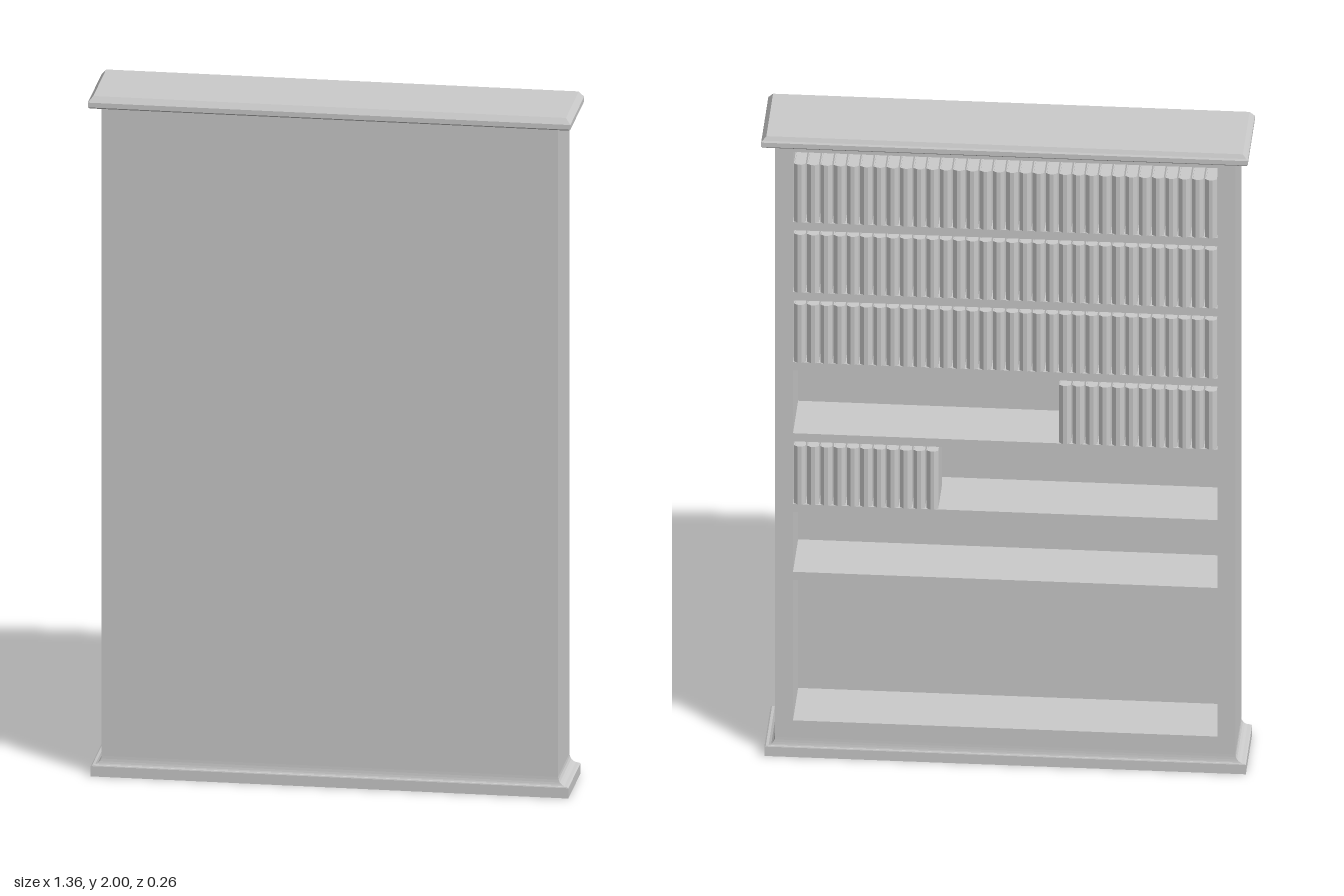
import * as THREE from 'three';

const mat = new THREE.MeshStandardMaterial({ color: 0xcccccc, flatShading: true });

function add(parent, name, geo, x = 0, y = 0, z = 0) {
  const m = new THREE.Mesh(geo, mat);
  m.name = name;
  m.position.set(x, y, z);
  parent.add(m);
  return m;
}

// Moulding: a stack of rectangles [y, half width, back z, front z], capped at both ends
function moulding(rings) {
  const pos = [];
  const corners = rings.map(([y, w, z0, z1]) => [[-w, y, z1], [w, y, z1], [w, y, z0], [-w, y, z0]]);
  const quad = (a, b, c, d) => pos.push(...a, ...b, ...c, ...a, ...c, ...d);
  for (let i = 0; i < corners.length - 1; i++) {
    const lo = corners[i], hi = corners[i + 1];
    for (let k = 0; k < 4; k++) quad(lo[k], lo[(k + 1) % 4], hi[(k + 1) % 4], hi[k]);
  }
  const top = corners[corners.length - 1], bot = corners[0];
  quad(...top);
  quad(bot[3], bot[2], bot[1], bot[0]);
  const g = new THREE.BufferGeometry();
  g.setAttribute('position', new THREE.Float32BufferAttribute(pos, 3));
  g.computeVertexNormals();
  return g;
}

// Upright extrusion of a plan outline whose +y points towards the open side (-z)
function upright(shape, height) {
  const g = new THREE.ExtrudeGeometry(shape, { depth: height, bevelEnabled: false, curveSegments: 3 });
  g.rotateX(-Math.PI / 2);
  return g;
}

export function createModel() {
  const root = new THREE.Group();
  root.name = 'bookcase';

  const W = 0.645, IN = 0.595;          // outer and inner half widths
  const OPEN = -0.1, BACK = 0.085;      // open side and inner face of the back panel
  const FLOOR = 0.115, CEIL = 1.94;

  // Case: a rectangular frame, open at -z
  const frame = new THREE.Shape();
  frame.moveTo(-W, 0.03).lineTo(W, 0.03).lineTo(W, 1.97).lineTo(-W, 1.97).closePath();
  const hole = new THREE.Path();
  hole.moveTo(-IN, FLOOR).lineTo(-IN, CEIL).lineTo(IN, CEIL).lineTo(IN, FLOOR).closePath();
  frame.holes.push(hole);
  add(root, 'caseFrame', new THREE.ExtrudeGeometry(frame, { depth: BACK - OPEN, bevelEnabled: false }), 0, 0, OPEN);
  add(root, 'backPanel', new THREE.BoxGeometry(2 * W, 1.94, 0.03), 0, 1.0, BACK + 0.015);

  // Plinth with a concave upper edge
  const plinth = [[0, 0.675, -0.105, 0.122], [0.03, 0.675, -0.105, 0.122]];
  for (let i = 0; i <= 5; i++) {
    const a = (i / 5) * Math.PI / 2, s = 1 - Math.sin(a);
    plinth.push([0.06 - 0.027 * Math.cos(a), W + 0.026 * s, OPEN - 0.004 * s, 0.115 + 0.006 * s]);
  }
  plinth.push([0.061, W, OPEN, 0.115]);
  add(root, 'plinth', moulding(plinth));

  // Crown with a rounded lip and bevelled top
  add(root, 'crown', moulding([
    [1.965, 0.676, -0.126, 0.126],
    [1.969, 0.682, -0.13, 0.13],
    [1.983, 0.682, -0.13, 0.13],
    [1.988, 0.678, -0.127, 0.127],
    [2.0, 0.668, -0.122, 0.12],
  ]));

  // Shelves, listed by the height of their top face
  const shelves = [1.715, 1.49, 1.265, 1.037, 0.81, 0.592];
  const T = 0.026;
  for (const y of shelves)
    add(root, 'shelf', new THREE.BoxGeometry(2 * IN, T, BACK - OPEN), 0, y - T / 2, (BACK + OPEN) / 2);

  // Book: a cover wrapped round a slightly lower block of pages
  const pitch = 2 * IN / 32, w = 0.0165, h = 0.186, t = 0.003;
  const cover = new THREE.Shape();
  cover.moveTo(-w, -0.035).lineTo(-w + t, -0.035).lineTo(-w + t, 0.092).lineTo(w - t, 0.092);
  cover.lineTo(w - t, -0.035).lineTo(w, -0.035).lineTo(w, 0.095);
  cover.quadraticCurveTo(0, 0.111, -w, 0.095);
  const coverGeo = upright(cover, h);
  const pageGeo = new THREE.BoxGeometry(2 * (w - t), h - 0.008, 0.122);

  // Each row: shelf height, index of the first slot counted from +x, number of books
  const rows = [[0, 0, 32], [1, 0, 32], [2, 0, 32], [3, 20, 12], [4, 0, 11]];
  for (const [shelf, first, count] of rows) {
    const row = new THREE.Group();
    row.name = 'bookRow';
    row.position.y = shelves[shelf];
    root.add(row);
    for (let i = first; i < first + count; i++) {
      const x = IN - pitch * (i + 0.5);
      add(row, 'bookCover', coverGeo, x);
      add(row, 'bookPages', pageGeo, x, h / 2, -0.031);
    }
  }
  return root;
}
